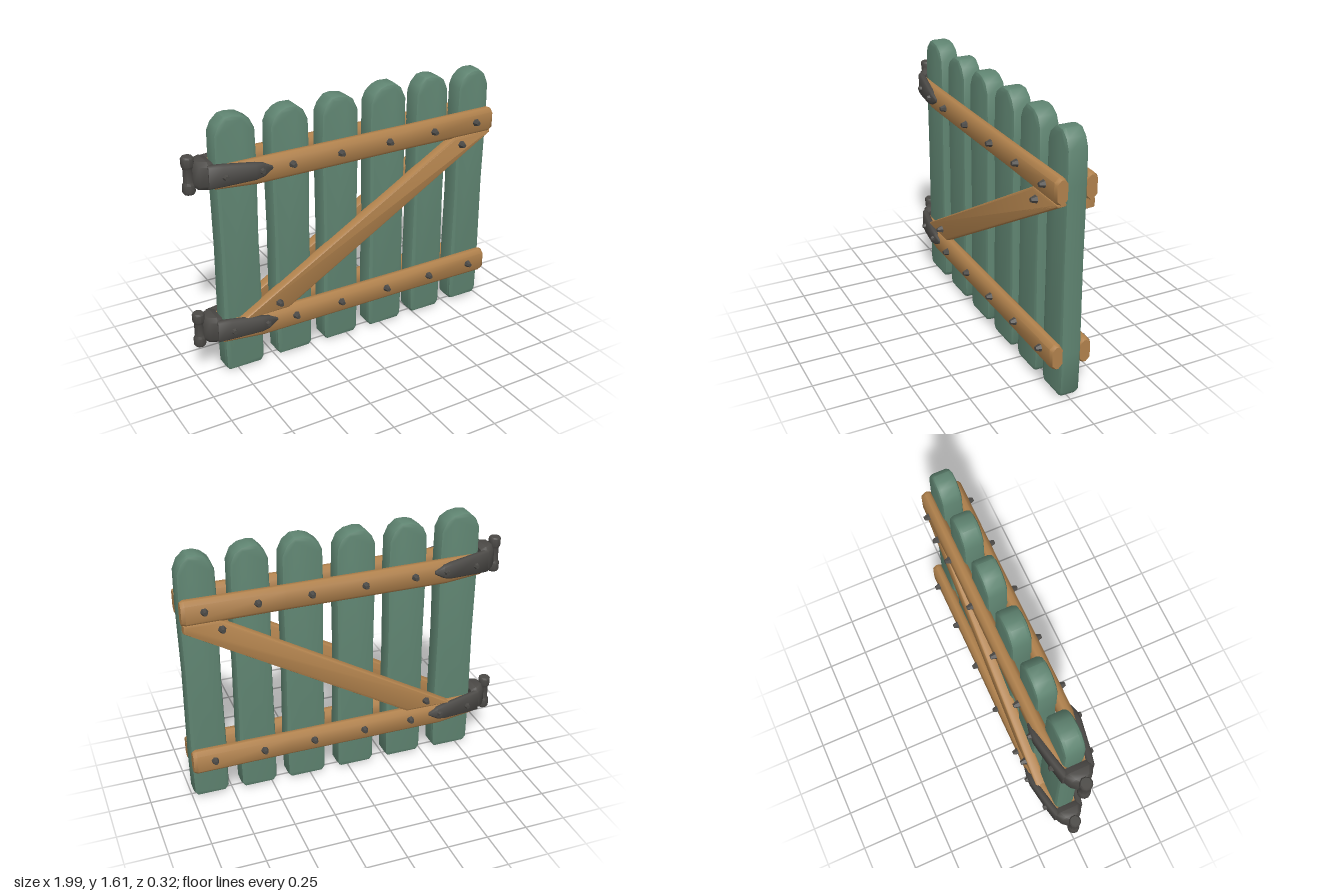
import * as THREE from 'three';
import { toCreasedNormals } from 'three/addons/utils/BufferGeometryUtils.js';

const green = new THREE.MeshStandardMaterial({ color: 0x5f8471 });
green.name = 'green painted wood';
const wood = new THREE.MeshStandardMaterial({ color: 0xb0814c });
wood.name = 'bare wood';
const iron = new THREE.MeshStandardMaterial({ color: 0x4b4946 });
iron.name = 'dark iron';

function add(parent, name, geometry, material) {
  const mesh = new THREE.Mesh(geometry, material);
  mesh.name = name;
  parent.add(mesh);
  return mesh;
}

// Bevelled board: an outline in x and y, between two depths
function slab(points, z0, z1, b) {
  const shape = new THREE.Shape(points.map(([x, y]) => new THREE.Vector2(x, y)));
  const g = new THREE.ExtrudeGeometry(shape, {
    depth: z1 - z0 - 2 * b, bevelThickness: b, bevelSize: b, bevelOffset: -b, bevelSegments: 2,
  });
  g.translate(0, 0, z0 + b);
  return toCreasedNormals(g, 0.7);
}

// Chamfered bar along x; each station is [x, y0, y1, z0, z1]
function loft(stations, b) {
  const pos = [], idx = [], last = (stations.length - 1) * 8;
  for (const [x, y0, y1, z0, z1] of stations) {
    const c = Math.min(b, (y1 - y0) * 0.4, (z1 - z0) * 0.4);
    for (const [y, z] of [
      [y1, z0 + c], [y1, z1 - c], [y1 - c, z1], [y0 + c, z1],
      [y0, z1 - c], [y0, z0 + c], [y0 + c, z0], [y1 - c, z0],
    ]) pos.push(x, y, z);
  }
  for (let i = 0; i < last; i += 8) {
    for (let j = 0; j < 8; j++) {
      const a = i + j, n = i + (j + 1) % 8;
      idx.push(a, n, a + 8, n, n + 8, a + 8);
    }
  }
  for (let j = 1; j < 7; j++) idx.push(0, j + 1, j, last, last + j, last + j + 1);
  const g = new THREE.BufferGeometry();
  g.setAttribute('position', new THREE.Float32BufferAttribute(pos, 3));
  g.setIndex(idx);
  return toCreasedNormals(g, 0.85);
}

// Mirrors a depth range to the front (s = 1) or back (s = -1)
const range = (s, a, b) => (s > 0 ? [a, b] : [-b, -a]);

function nail(parent, x, y, z, s) {
  const g = new THREE.CylinderGeometry(0.013, 0.026, 0.04, 6);
  g.rotateX(s * Math.PI / 2);
  g.rotateZ(x * 7 + y * 3);
  g.translate(x, y, s * z);
  add(parent, 'nail', toCreasedNormals(g, 0.4), iron);
}

function plankOutline([x0, x1, bottom, top], i) {
  const w = x1 - x0, lean = (i % 2 ? 1 : -1) * 0.004;
  return [
    [x0 + 0.025, bottom], [x1 - 0.025, bottom], [x1 - 0.004, bottom + 0.03],
    [x1, 0.3], [x1 - 0.006, 0.85], [x1, 1.3],
    [x1 - 0.004, top - 0.1], [x1 - w * 0.13, top - 0.04], [x1 - w * 0.32, top - 0.006 + lean],
    [x0 + w * 0.45, top], [x0 + w * 0.28, top - 0.01 - lean], [x0 + w * 0.1, top - 0.05],
    [x0 + 0.003, top - 0.1], [x0, 1.3], [x0 + 0.006, 0.8], [x0, 0.3], [x0 + 0.003, bottom + 0.03],
  ];
}

function makeHinge(y) {
  const hinge = new THREE.Group();
  hinge.name = 'hinge';
  // Waisted pin
  const profile = [[0, -0.11], [0.03, -0.11], [0.037, -0.1], [0.036, -0.055], [0.028, -0.04],
    [0.028, 0.04], [0.036, 0.055], [0.037, 0.1], [0.03, 0.11], [0, 0.11]];
  const pin = new THREE.LatheGeometry(profile.map((p) => new THREE.Vector2(...p)), 10);
  pin.translate(-0.963, y + 0.005, 0);
  add(hinge, 'hingePin', toCreasedNormals(pin, 0.7), iron);
  // Knuckle joining the pin and the two straps
  add(hinge, 'hingeKnuckle', loft([
    [-0.945, y - 0.065, y + 0.07, -0.035, 0.035],
    [-0.92, y - 0.08, y + 0.085, -0.062, 0.062],
    [-0.875, y - 0.08, y + 0.085, -0.085, 0.085],
    [-0.84, y - 0.068, y + 0.07, -0.08, 0.08],
  ], 0.025), iron);
  // Pointed straps, front and back
  for (const s of [1, -1]) {
    add(hinge, 'hingeStrap', loft([
      [-0.88, -0.07, 0.068, 0.05, 0.092],
      [-0.8, -0.064, 0.066, 0.07, 0.11],
      [-0.62, -0.05, 0.05, 0.1, 0.142],
      [-0.57, -0.04, 0.04, 0.105, 0.142],
      [-0.515, -0.01, 0.01, 0.11, 0.132],
    ].map(([x, a, b, i, o]) => [x, y + a, y + b, ...range(s, i, o)]), 0.01), iron);
    nail(hinge, -0.79, y - 0.005, 0.11, s);
    nail(hinge, -0.585, y, 0.14, s);
  }
  return hinge;
}

export function createModel() {
  const gate = new THREE.Group();
  gate.name = 'gate';

  // Upright planks: left, right, bottom, top
  [
    [-0.83, -0.575, 0.005, 1.612], [-0.493, -0.247, 0.01, 1.6], [-0.17, 0.075, 0.01, 1.602],
    [0.15, 0.4, 0.01, 1.612], [0.467, 0.698, 0.013, 1.61], [0.772, 0.995, 0.022, 1.595],
  ].forEach((p, i) => add(gate, 'plank', slab(plankOutline(p, i), -0.062, 0.062, 0.022), green));

  for (const s of [1, -1]) {
    // Horizontal rails, thinner at the hinge end
    for (const y of [1.277, 0.293]) {
      add(gate, 'rail', loft([
        [-0.84, 0.068, 0.045, 0.085], [-0.6, 0.076, 0.05, 0.122], [-0.1, 0.074, 0.05, 0.124],
        [0.4, 0.074, 0.05, 0.122], [0.97, 0.077, 0.05, 0.124], [0.992, 0.068, 0.055, 0.117],
      ].map(([x, h, i, o]) => [x, y - h, y + h, ...range(s, i, o)]), 0.024), wood);
      for (const x of [-0.39, -0.08, 0.245, 0.56, 0.865]) nail(gate, x, y + 0.008, 0.135, s);
    }
    // Diagonal brace, set a little lower on the back
    const d = s > 0 ? 0 : 0.06;
    add(gate, 'brace', slab([
      [-0.73 + d, 0.36], [-0.43 + d, 0.36], [0.985, 1.195 - d * 0.6], [0.985, 1.21], [0.72 + d, 1.21],
    ], ...range(s, 0.05, 0.116), 0.015), wood);
    nail(gate, 0.77, 1.158, 0.13, s);
    nail(gate, -0.495, 0.415, 0.13, s);
  }

  gate.add(makeHinge(1.293), makeHinge(0.313));
  return gate;
}
